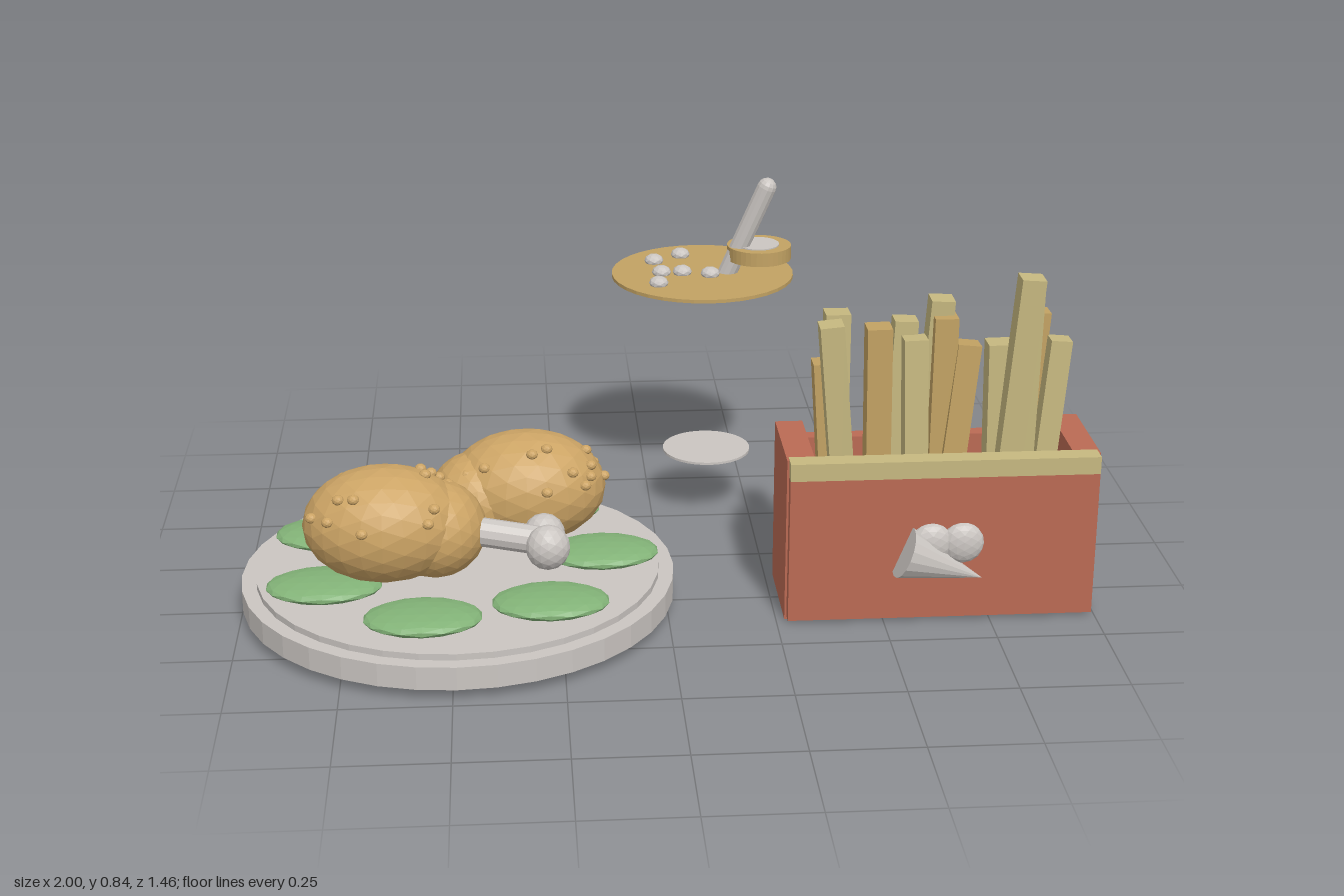
import * as THREE from 'three';

const mat = (name, color, flatShading = true) => {
  const m = new THREE.MeshStandardMaterial({ color, flatShading });
  m.name = name;
  return m;
};

export function createModel() {
  const root = new THREE.Group();
  root.name = 'chickenMeal';
  const grey = mat('pale grey', 0xcac5c1);
  const red = mat('carton red', 0xba6a54);
  const darkRed = mat('carton inside red', 0xa3645a);
  const meat = mat('fried gold', 0xcca465);
  const tan = mat('tan', 0xc2a263);
  const cream = mat('pale potato', 0xc6b880);
  const green = mat('leaf green', 0x82b277);

  let seed = 7;
  const rand = () => (seed = (seed * 16807) % 2147483647) / 2147483647;

  const group = (name, parent = root) => {
    const g = new THREE.Group();
    g.name = name;
    parent.add(g);
    return g;
  };
  const add = (parent, name, geo, material, x, y, z) => {
    const m = new THREE.Mesh(geo, material);
    m.name = name;
    m.position.set(x, y, z);
    parent.add(m);
    return m;
  };
  const box = (parent, name, material, x0, x1, y0, y1, z0, z1) =>
    add(parent, name, new THREE.BoxGeometry(x1 - x0, y1 - y0, z1 - z0), material,
      (x0 + x1) / 2, (y0 + y1) / 2, (z0 + z1) / 2);
  const disc = (parent, name, material, r, x, y0, y1, z) =>
    add(parent, name, new THREE.CylinderGeometry(r, r, y1 - y0, 36), material, x, (y0 + y1) / 2, z);
  const blob = (parent, name, material, x, y, z, rx, ry, rz, detail = 2) => {
    const m = add(parent, name, new THREE.IcosahedronGeometry(1, detail), material, x, y, z);
    m.scale.set(rx, ry, rz);
    return m;
  };
  // Place a geometry whose axis is y between two points
  const between = (parent, name, material, a, b, makeGeo) => {
    const p = new THREE.Vector3(...a), q = new THREE.Vector3(...b);
    const d = q.clone().sub(p), mid = p.clone().add(q).multiplyScalar(0.5);
    const m = add(parent, name, makeGeo(d.length()), material, mid.x, mid.y, mid.z);
    m.quaternion.setFromUnitVectors(new THREE.Vector3(0, 1, 0), d.normalize());
    return m;
  };

  // Plate with a ring of salad leaves
  const plate = group('plate');
  disc(plate, 'plateRim', grey, 0.51, -0.49, 0.025, 0.08, 0.215);
  disc(plate, 'plateCentre', grey, 0.475, -0.49, 0.08, 0.095, 0.215);
  for (let i = 0; i < 7; i++) {
    const a = (i / 7) * Math.PI * 2;
    blob(plate, 'leaf', green, -0.49 + Math.cos(a) * 0.34, 0.117, 0.215 + Math.sin(a) * 0.34,
      0.135, 0.025, 0.092);
  }

  // Two drumsticks, the second turned half a circle
  for (let k = 0; k < 2; k++) {
    const d = group('drumstick');
    d.position.set(-0.49, 0, 0.206);
    d.rotation.y = k * Math.PI;
    const c = [-0.165, 0.245, 0.1], r = [0.19, 0.137, 0.145];
    blob(d, 'meat', meat, ...c, ...r, 3);
    blob(d, 'meatTaper', meat, -0.05, 0.222, 0.085, 0.12, 0.115, 0.12, 3);
    between(d, 'bone', grey, [-0.02, 0.235, 0.11], [0.205, 0.192, 0.11],
      (l) => new THREE.CylinderGeometry(0.034, 0.034, l, 12));
    blob(d, 'boneKnob', grey, 0.21, 0.19, 0.14, 0.052, 0.054, 0.046);
    blob(d, 'boneKnob', grey, 0.203, 0.19, 0.068, 0.05, 0.052, 0.046);
    // Crumbs over the upper half
    for (let i = 0; i < 20; i++) {
      const a = rand() * Math.PI * 2, h = 0.05 + rand() * 0.88, s = Math.sqrt(1 - h * h);
      blob(d, 'crumb', meat, c[0] + Math.cos(a) * s * r[0], c[1] + h * r[1],
        c[2] + Math.sin(a) * s * r[2], 0.014, 0.012, 0.014, 1);
    }
  }

  // Carton
  const carton = group('carton');
  box(carton, 'sideWall', red, 0.27, 0.335, 0, 0.4, 0.12, 0.37);
  box(carton, 'sideWall', red, 0.935, 0.997, 0, 0.4, 0.12, 0.37);
  box(carton, 'frontWall', red, 0.275, 0.992, 0.008, 0.36, 0.35, 0.398);
  box(carton, 'frontBand', cream, 0.275, 0.992, 0.36, 0.402, 0.352, 0.4);
  box(carton, 'backWall', red, 0.287, 0.98, 0.008, 0.36, 0.093, 0.13);
  box(carton, 'floor', darkRed, 0.335, 0.935, 0.03, 0.06, 0.13, 0.35);

  // Relief on the carton front: a cone and two flattened balls
  const relief = group('frontRelief');
  between(relief, 'reliefCone', grey, [0.54, 0.182, 0.412], [0.728, 0.107, 0.402],
    (l) => new THREE.ConeGeometry(0.062, l, 16));
  blob(relief, 'reliefBall', grey, 0.605, 0.198, 0.402, 0.05, 0.05, 0.025);
  blob(relief, 'reliefBall', grey, 0.678, 0.198, 0.402, 0.05, 0.05, 0.025);

  // Fries: bottom x, top x, top y, bottom z, top z, width, material
  const fries = group('fries');
  [
    [0.43, 0.37, 0.71, 0.3, 0.315, 0.055, cream],
    [0.40, 0.40, 0.70, 0.22, 0.2, 0.058, cream],
    [0.40, 0.365, 0.6, 0.26, 0.255, 0.055, tan],
    [0.50, 0.49, 0.68, 0.25, 0.25, 0.058, tan],
    [0.53, 0.56, 0.68, 0.21, 0.2, 0.055, cream],
    [0.59, 0.575, 0.65, 0.28, 0.25, 0.055, cream],
    [0.60, 0.64, 0.735, 0.2, 0.22, 0.055, cream],
    [0.64, 0.645, 0.7, 0.25, 0.245, 0.055, tan],
    [0.64, 0.70, 0.635, 0.28, 0.25, 0.055, tan],
    [0.79, 0.78, 0.625, 0.23, 0.22, 0.06, cream],
    [0.78, 0.835, 0.8, 0.27, 0.28, 0.056, cream],
    [0.84, 0.85, 0.77, 0.22, 0.225, 0.05, cream],
    [0.83, 0.875, 0.69, 0.2, 0.19, 0.05, tan],
    [0.87, 0.918, 0.635, 0.25, 0.235, 0.05, cream],
  ].forEach(([x0, x1, y1, z0, z1, w, m]) =>
    between(fries, 'fry', m, [x0, 0.06, z0], [x1, y1, z1], (l) => new THREE.BoxGeometry(w, l, w)));

  // Floating round tray with beads, a dip cup and a stick
  const tray = group('tray');
  disc(tray, 'trayDisc', tan, 0.235, 0.147, 0.57, 0.579, -0.5);
  [[0.027, -0.588], [0.1, -0.637], [0.04, -0.487], [0.094, -0.487], [0.027, -0.397], [0.165, -0.467]]
    .forEach(([x, z]) => blob(tray, 'bead', grey, x, 0.585, z, 0.025, 0.017, 0.025, 1));
  disc(tray, 'dipCup', tan, 0.083, 0.294, 0.614, 0.65, -0.5);
  disc(tray, 'dip', grey, 0.056, 0.29, 0.648, 0.653, -0.5);
  between(tray, 'stick', grey, [0.207, 0.565, -0.497], [0.312, 0.82, -0.468],
    (l) => new THREE.CapsuleGeometry(0.025, l - 0.02, 4, 12));

  // Small floating disc
  disc(root, 'smallDisc', grey, 0.112, 0.145, 0.153, 0.159, -0.328);

  return root;
}
